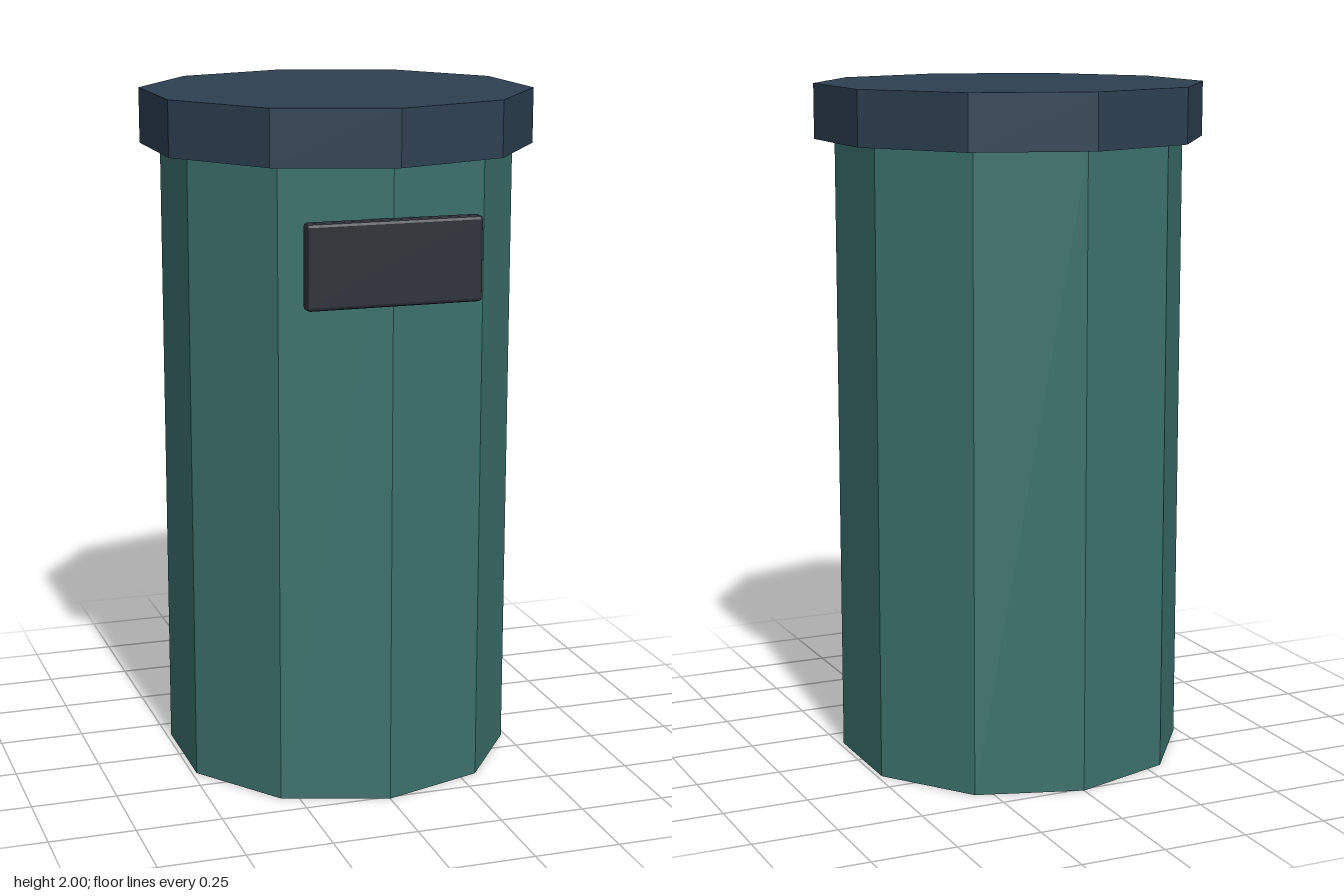
import * as THREE from 'three';
import { RoundedBoxGeometry } from 'three/addons/geometries/RoundedBoxGeometry.js';

const SIDES = 10;
const paint = (name, color) => {
  const material = new THREE.MeshStandardMaterial({ color, flatShading: true });
  material.name = name;
  return material;
};

export function createModel() {
  const model = new THREE.Group();
  model.name = 'bin';

  const add = (name, geometry, material, y, z = 0) => {
    const mesh = new THREE.Mesh(geometry, material);
    mesh.name = name;
    mesh.position.set(0, y, z);
    model.add(mesh);
  };
  // ten-sided prism with a corner facing the front
  const prism = (radius, height) => new THREE.CylinderGeometry(radius, radius, height, SIDES);

  add('body', prism(0.512, 1.84), paint('teal green', 0x3c726d), 0.92);
  add('lid', prism(0.571, 0.16), paint('slate blue', 0x2d4052), 1.92);

  // flap over the opening, with chamfered edges
  add('openingFlap', new RoundedBoxGeometry(0.508, 0.24, 0.044, 1, 0.01),
    paint('charcoal', 0x2c3138), 1.575, 0.513);

  return model;
}
